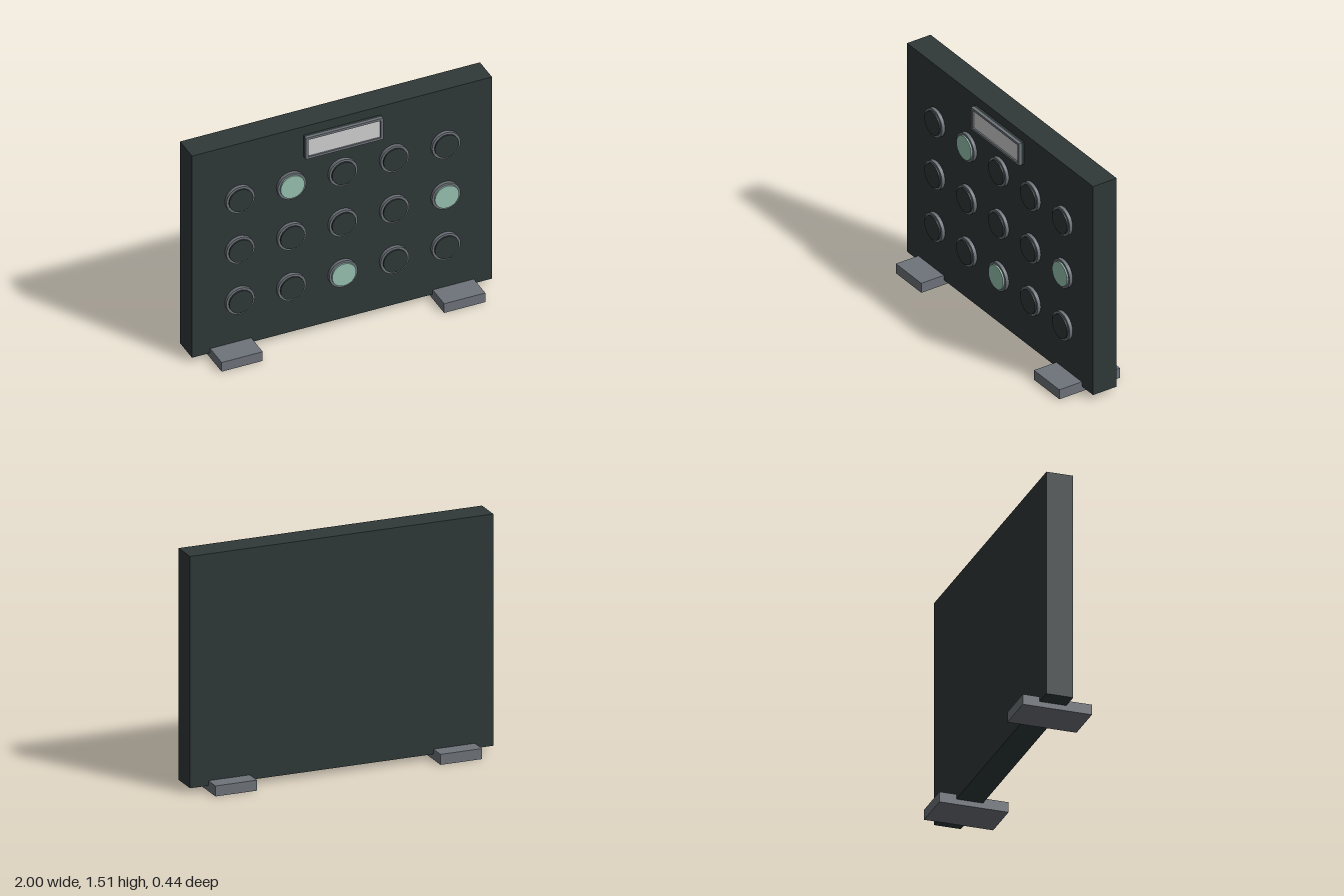
import * as THREE from 'three';

const mat = (name, color) => {
  const m = new THREE.MeshStandardMaterial({ color });
  m.name = name;
  return m;
};

export function createModel() {
  const dark = mat('dark slate', 0x2f3838);
  const grey = mat('metal grey', 0x6e737a);
  const mint = mat('lit mint', 0x97c2b0);
  const pale = mat('screen grey', 0xd0d0d0);

  const root = new THREE.Group();
  root.name = 'buttonPanel';
  const FACE = 0.058; // z of the panel's front face

  const add = (name, geometry, material, x, y, z, parent = root) => {
    const mesh = new THREE.Mesh(geometry, material);
    mesh.name = name;
    mesh.position.set(x, y, z);
    parent.add(mesh);
    return mesh;
  };

  // Upright slab
  add('panel', new THREE.BoxGeometry(2, 1.48, 0.172), dark, 0, 0.775, FACE - 0.086);

  // Feet
  for (const side of [-1, 1]) {
    add(side < 0 ? 'rightFoot' : 'leftFoot',
      new THREE.BoxGeometry(0.274, 0.067, 0.444), grey, side * 0.742, 0.0335, 0);
  }

  // Buttons: a collar with a raised cap, three of them lit
  const collar = new THREE.CylinderGeometry(0.095, 0.095, 0.022, 32).rotateX(Math.PI / 2);
  const cap = new THREE.CylinderGeometry(0.08, 0.08, 0.032, 32).rotateX(Math.PI / 2);
  const lit = [1, 4, 2]; // lit column in each row, from the top
  for (let row = 0; row < 3; row++) {
    for (let col = 0; col < 5; col++) {
      const button = new THREE.Group();
      button.name = 'button';
      button.position.set((col - 2) * 0.343, 1.116 - row * 0.3715, FACE);
      add('buttonCollar', collar, grey, 0, 0, 0.011, button);
      add('buttonCap', cap, lit[row] === col ? mint : dark, 0, 0, 0.016, button);
      root.add(button);
    }
  }

  // Display: dark base, grey frame and inset screen
  const display = new THREE.Group();
  display.name = 'display';
  display.position.set(0, 1.375, FACE);
  root.add(display);
  const W = 0.515, H = 0.156, rim = 0.016;
  add('displayBase', new THREE.BoxGeometry(W, H, 0.02), dark, 0, 0, 0.01, display);
  const frame = new THREE.Shape([
    [-W / 2, -H / 2], [W / 2, -H / 2], [W / 2, H / 2], [-W / 2, H / 2],
  ].map(([x, y]) => new THREE.Vector2(x, y)));
  const w = W / 2 - rim, h = H / 2 - rim;
  frame.holes.push(new THREE.Path([
    [-w, -h], [-w, h], [w, h], [w, -h],
  ].map(([x, y]) => new THREE.Vector2(x, y))));
  add('displayFrame', new THREE.ExtrudeGeometry(frame, { depth: 0.018, bevelEnabled: false }),
    grey, 0, 0, 0.02, display);
  add('screen', new THREE.BoxGeometry(w * 2, h * 2, 0.008), pale, 0, 0, 0.024, display);

  return root;
}
